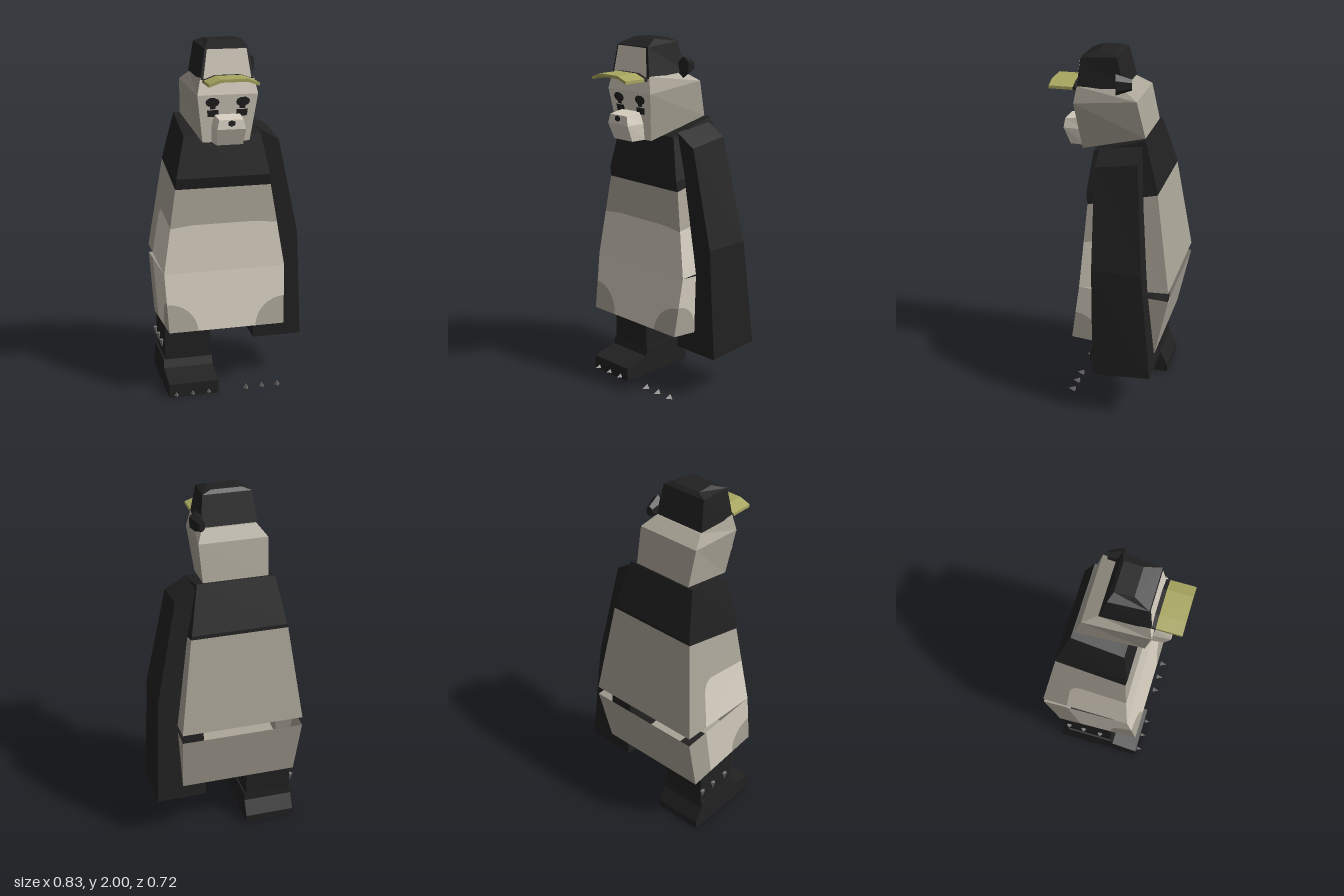
import * as THREE from 'three';

const mat = (name, color, extra = {}) => {
  const m = new THREE.MeshStandardMaterial({ color, ...extra });
  m.name = name;
  return m;
};

export function createModel() {
  const open = { side: THREE.DoubleSide };
  const black = mat('black', 0x212121, open);
  const light = mat('cream', 0xd6cec0, open);
  const grey = mat('warm grey', 0xaaa497, open);
  const olive = mat('olive', 0xa8a65f);
  const claw = mat('claw grey', 0x777573);

  const model = new THREE.Group();
  const root = new THREE.Group();
  root.name = 'figure';
  root.position.x = -0.065; // the body sits off centre because only the left arm is present
  model.add(root);

  // Faceted mesh: unshared corners give flat normals
  const add = (name, geometry, material, parent = root) => {
    const g = geometry.index ? geometry.toNonIndexed() : geometry;
    g.computeVertexNormals();
    const mesh = new THREE.Mesh(g, material);
    mesh.name = name;
    parent.add(mesh);
    return mesh;
  };
  const group = (name) => {
    const g = new THREE.Group();
    g.name = name;
    root.add(g);
    return g;
  };
  const V = (x, y, z) => new THREE.Vector3(x, y, z);

  // Ring of four corners: right front, left front, left back, right back
  const ring = (yf, yb, wf, wb, zf, zb) =>
    [V(-wf, yf, zf), V(wf, yf, zf), V(wb, yb, zb), V(-wb, yb, zb)];
  // Side k between two rings: 0 front, 1 left, 2 back, 3 right
  const side = (top, bot, k) => [top[k], bot[k], bot[(k + 1) % 4], top[(k + 1) % 4]];
  const quads = (list) => {
    const pts = list.flatMap(([a, b, c, d]) => [a, b, c, a, c, d]);
    return new THREE.BufferGeometry().setFromPoints(pts);
  };
  const loft = (rings, skip = [], caps = true) => {
    const list = [];
    for (let i = 0; i + 1 < rings.length; i++)
      for (let k = 0; k < 4; k++) if (!skip.includes(k)) list.push(side(rings[i], rings[i + 1], k));
    if (caps) list.push(rings[0], [...rings[rings.length - 1]].reverse());
    return quads(list);
  };

  // Flat shape given in 0..1 coordinates of a quad, optionally mirrored or lifted
  const paint = (name, [a, b, c, d], points, material, parent, { flip = false, lift = 0 } = {}) => {
    const shape = new THREE.Shape(points.map(([u, v]) => new THREE.Vector2(flip ? 1 - u : u, v)));
    const g = new THREE.ShapeGeometry(shape);
    const n = c.clone().sub(b).cross(a.clone().sub(b)).normalize().multiplyScalar(lift);
    const p = g.attributes.position;
    for (let i = 0; i < p.count; i++) {
      const u = p.getX(i), v = p.getY(i);
      const q = b.clone().lerp(c, u).lerp(a.clone().lerp(d, u), v).add(n);
      p.setXYZ(i, q.x, q.y, q.z);
    }
    return add(name, g, material, parent);
  };
  const arc = (cx, cy, rx, ry, from, to, n = 8) => Array.from({ length: n + 1 }, (_, i) => {
    const t = from + (to - from) * i / n;
    return [cx + rx * Math.cos(t), cy + ry * Math.sin(t)];
  });
  const Q = Math.PI / 2;
  const rect = (u0, u1, v0, v1) => [[u0, v0], [u1, v0], [u1, v1], [u0, v1]];

  // Torso
  const torso = group('torso');
  const neck = ring(1.48, 1.56, 0.215, 0.215, 0.09, -0.195);
  const shoulder = ring(1.25, 1.3, 0.265, 0.265, 0.12, -0.275);
  const chest = ring(1.19, 1.28, 0.27, 0.27, 0.112, -0.277);
  const waist = ring(0.72, 0.74, 0.345, 0.345, 0.145, -0.36);
  const hipTop = ring(0.72, 0.69, 0.345, 0.345, 0.145, -0.36);
  const hipBase = ring(0.39, 0.345, 0.33, 0.33, 0.195, -0.285);
  add('shoulders', loft([neck, shoulder, chest], [], false), black, torso);
  add('neckTop', quads([neck]), black, torso);
  add('torsoBack', quads([side(chest, waist, 2), side(hipTop, hipBase, 2)]), grey, torso);
  add('torsoBottom', quads([[...hipBase].reverse()]), grey, torso);

  // Front: grey chest above the cream belly, with a slightly bowed border
  const border = [[1, 0.54], [0.8, 0.57], [0.2, 0.57], [0, 0.54]];
  const frontTop = side(chest, waist, 0), frontLow = side(hipTop, hipBase, 0);
  paint('chestFront', frontTop, [...[...border].reverse(), [1, 1], [0, 1]], grey, torso);
  paint('bellyUpper', frontTop, [[0, 0], [1, 0], ...border], light, torso);
  const cornerL = arc(0, 0, 0.25, 0.48, Q, 0), cornerR = arc(1, 0, 0.25, 0.48, 2 * Q, Q);
  paint('bellyLower', frontLow, [...cornerL, ...cornerR, [1, 1], [0, 1]], light, torso);
  paint('bellyCorner', frontLow, [[0, 0], ...cornerL], grey, torso);
  paint('bellyCorner', frontLow, [[1, 0], ...cornerR], grey, torso);

  // Sides: cream wraps round from the front with a rounded upper corner
  for (const k of [1, 3]) {
    const flip = k === 3;
    const top = side(chest, waist, k), low = side(hipTop, hipBase, k);
    const edge = arc(0.58, 0.4, 0.14, 0.15, 0, Q);
    paint('flankCream', top, [[0, 0], [0.72, 0], ...edge, [0, 0.55]], light, torso, { flip });
    paint('flankGrey', top, [[0.72, 0], [1, 0], [1, 1], [0, 1], [0, 0.55], ...[...edge].reverse()],
      grey, torso, { flip });
    const spot = arc(0, 0, 0.32, 0.5, Q, 0);
    paint('hipCream', low, [...spot, [0.72, 0], [0.72, 1], [0, 1]], light, torso, { flip });
    paint('hipCorner', low, [[0, 0], ...spot], grey, torso, { flip });
    paint('hipBack', low, rect(0.72, 1, 0, 1), grey, torso, { flip });
  }

  // Left arm
  const armRing = (xi, yi, xo, yo, zf, zb, dy = 0) =>
    [V(xi, yi, zf), V(xo, yo, zf), V(xo, yo + dy, zb), V(xi, yi + dy, zb)];
  add('leftArm', loft([
    armRing(0.21, 1.5, 0.33, 1.43, 0.055, -0.18, 0.035),
    armRing(0.2, 0.88, 0.45, 0.88, 0.045, -0.23),
    armRing(0.195, 0.25, 0.48, 0.25, 0.035, -0.29, 0.02),
  ]), black);

  // Right leg and foot
  const leg = add('rightLeg', new THREE.BoxGeometry(0.265, 0.24, 0.27), black);
  leg.position.set(-0.195, 0.28, -0.1);
  const profile = [[0.2, 0], [0.2, 0.08], [0.05, 0.115], [0.035, 0.163], [-0.235, 0.17], [-0.24, 0.13],
    [-0.285, 0.045], [-0.285, 0]];
  const footShape = new THREE.Shape(profile.map(([z, y]) => new THREE.Vector2(-z, y)));
  const foot = add('rightFoot', new THREE.ExtrudeGeometry(footShape, { depth: 0.285, bevelEnabled: false })
    .rotateY(Q).translate(-0.3375, 0, 0), black);
  foot.userData.part = 'foot';

  // Claws on both feet and both hands
  const claws = group('claws');
  for (const s of [-1, 1]) {
    for (const x of [0.11, 0.203, 0.297]) {
      const c = add('footClaw', new THREE.ConeGeometry(0.018, 0.04, 3).rotateY(Math.PI).rotateX(Q), claw, claws);
      c.position.set(s * x, 0.018, 0.212);
    }
    for (const z of [-0.03, -0.135, -0.228]) {
      const c = add('handClaw', new THREE.ConeGeometry(0.016, 0.05, 4).rotateX(Math.PI), claw, claws);
      c.position.set(s * 0.335, 0.238, z);
    }
  }

  // Head: cream face, grey sides and back
  const head = group('head');
  const crown = ring(1.81, 1.81, 0.145, 0.15, 0.2, -0.06);
  const temple = ring(1.72, 1.76, 0.165, 0.19, 0.215, -0.14);
  const jaw = ring(1.46, 1.56, 0.13, 0.18, 0.175, -0.187);
  add('skull', loft([crown, temple, jaw], [0]), grey, head);
  const face = side(temple, jaw, 0);
  add('face', quads([side(crown, temple, 0), face]), light, head);
  add('muzzle', loft([
    ring(1.6, 1.615, 0.065, 0.07, 0.292, 0.19),
    ring(1.55, 1.55, 0.078, 0.085, 0.298, 0.18),
    ring(1.46, 1.46, 0.072, 0.08, 0.26, 0.17),
  ]), light, head);
  const nose = add('nose', new THREE.CylinderGeometry(0.022, 0.012, 0.008, 6).rotateX(Q), black, head);
  nose.scale.y = 0.8;
  nose.position.set(0, 1.582, 0.296);

  // Eyes: dark upper lid and lower patch with a pale slit between
  for (const u of [0.24, 0.76]) {
    paint('upperEye', face, arc(u, 0.85, 0.12, 0.1, 0, 4 * Q, 10).slice(0, -1), black, head, { lift: 0.004 });
    paint('lowerEye', face, rect(u - 0.1, u + 0.1, 0.55, 0.69), black, head, { lift: 0.004 });
    paint('eyeBridge', face, rect(u - 0.05, u + 0.05, 0.71, 0.77), black, head, { lift: 0.004 });
  }

  // Cap with a pale front panel and an arched bill
  const cap = group('cap');
  const band = ring(1.8, 1.815, 0.145, 0.155, 0.202, -0.06);
  const rim = ring(1.962, 1.98, 0.118, 0.135, 0.185, -0.02);
  const top = ring(1.998, 1.998, 0.08, 0.085, 0.1, 0);
  add('capShell', loft([top, rim, band]), black, cap);
  paint('capPanel', side(rim, band, 0), rect(0.05, 0.95, 0.03, 0.97), light, cap, { lift: 0.004 });
  const arch = [[-0.134, 1.785], [-0.07, 1.808], [0.07, 1.808], [0.134, 1.785]];
  const billShape = new THREE.Shape([...arch, ...[...arch].reverse().map(([x, y]) => [x, y + 0.016])]
    .map(([x, y]) => new THREE.Vector2(x, y)));
  const slab = (z, depth) =>
    new THREE.ExtrudeGeometry(billShape, { depth, bevelEnabled: false }).translate(0, 0, z);
  add('billBase', slab(0.17, 0.055), black, cap);
  add('bill', slab(0.225, 0.135), olive, cap);

  // Left ear
  const ear = add('leftEar', new THREE.CylinderGeometry(0.03, 0.058, 0.085, 6).rotateX(-Q), black, head);
  ear.scale.x = 0.65;
  ear.position.set(0.168, 1.843, -0.064);
  ear.rotation.y = 0.2;

  return model;
}
